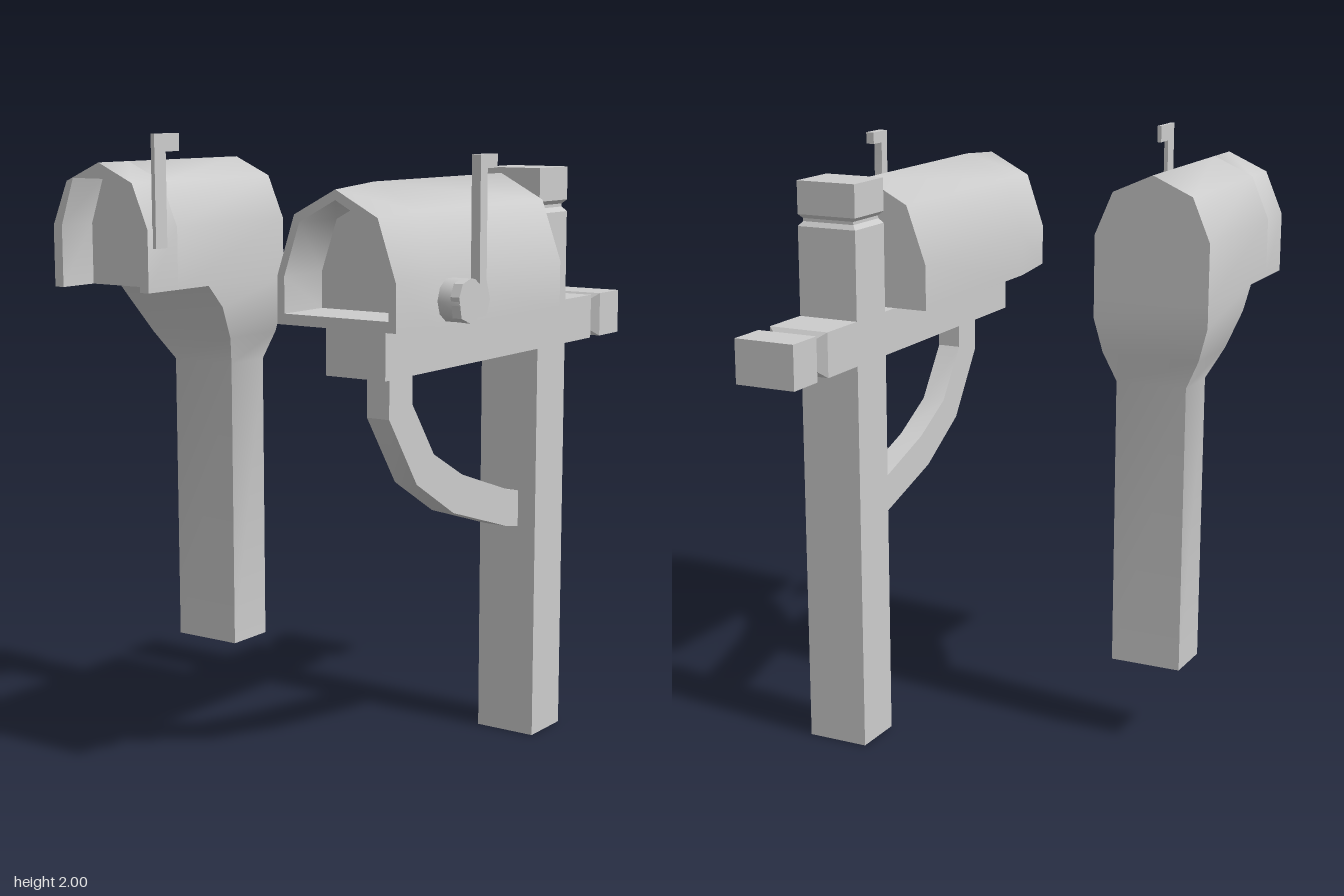
import * as THREE from 'three';
import { toCreasedNormals } from 'three/addons/utils/BufferGeometryUtils.js';

const material = new THREE.MeshStandardMaterial({ color: 0xcccccc, side: THREE.DoubleSide });

function add(parent, name, geometry, crease = 0.5) {
  const mesh = new THREE.Mesh(toCreasedNormals(geometry, crease), material);
  mesh.name = name;
  parent.add(mesh);
  return mesh;
}

// Skin through rings of [x, y, z] points, counter-clockwise seen from the end
function loft(rings, capStart, capEnd) {
  const out = [];
  const n = rings[0].length;
  for (let i = 0; i < rings.length - 1; i++) {
    for (let j = 0; j < n; j++) {
      const k = (j + 1) % n;
      const [a, b, c, d] = [rings[i][j], rings[i][k], rings[i + 1][k], rings[i + 1][j]];
      out.push(...a, ...b, ...c, ...a, ...c, ...d);
    }
  }
  for (let j = 1; j < n - 1; j++) {
    const s = rings[0], e = rings[rings.length - 1];
    if (capStart) out.push(...s[0], ...s[j + 1], ...s[j]);
    if (capEnd) out.push(...e[0], ...e[j], ...e[j + 1]);
  }
  const g = new THREE.BufferGeometry();
  g.setAttribute('position', new THREE.Float32BufferAttribute(out, 3));
  g.computeVertexNormals();
  return g;
}

function extrude(points, depth) {
  const shape = new THREE.Shape(points.map(p => new THREE.Vector2(...p)));
  return new THREE.ExtrudeGeometry(shape, { depth, bevelEnabled: false });
}

// Side outline of [z, y] points given thickness between x0 and x1
function sidePlate(points, x0, x1) {
  const g = extrude(points.map(([z, y]) => [-z, y]), x1 - x0);
  return g.rotateY(Math.PI / 2).translate(x0, 0, 0);
}

// Symmetric outline from its right half, bottom to top
function mirror(half) {
  const left = half.filter(p => p[0] > 0).reverse().map(([x, y]) => [-x, y]);
  return [...half, ...left];
}

function createBeamMailbox() {
  const group = new THREE.Group();
  group.name = 'beamMailbox';
  const cx = 0.41;

  // Post with a notched neck below its cap, open at the foot
  const postRings = [[0, 0.105, 0.09], [1.74, 0.105, 0.09], [1.755, 0.092, 0.078],
    [1.765, 0.092, 0.078], [1.778, 0.105, 0.09], [1.885, 0.105, 0.09]]
    .map(([y, w, d]) => [[-1, 1], [1, 1], [1, -1], [-1, -1]]
      .map(([sx, sz]) => [cx + sx * w, y, -0.3 + sz * d]));
  add(group, 'post', loft(postRings, false, true));

  // Cross beam with the same notch near its rear end
  const beamRings = [[-0.765, 0.105, 0.0725], [-0.632, 0.105, 0.0725], [-0.613, 0.072, 0.05],
    [-0.588, 0.072, 0.05], [-0.568, 0.105, 0.0725], [0.667, 0.105, 0.0725]]
    .map(([z, w, h]) => [[-1, -1], [1, -1], [1, 1], [-1, 1]]
      .map(([sx, sy]) => [cx + sx * w, 1.3775 + sy * h, z]));
  add(group, 'crossBeam', loft(beamRings, true, true));

  // Curved brace
  add(group, 'brace', sidePlate([
    [0.55, 1.305], [0.55, 1.17], [0.4, 0.95], [0.19, 0.825], [-0.13, 0.725], [-0.21, 0.71],
    [-0.21, 0.83], [-0.14, 0.845], [0.14, 0.94], [0.305, 1.03], [0.425, 1.2], [0.425, 1.305]
  ], 0.37, 0.45));

  // Box: body, narrowed mouth, rim and recess in one skin
  const outer = mirror([[0.22, 1.45], [0.22, 1.6], [0.152, 1.79], [0, 1.87]]);
  const mouth = mirror([[0.207, 1.46], [0.207, 1.6], [0.145, 1.78], [0, 1.855]]);
  const inner = mirror([[0.182, 1.492], [0.182, 1.6], [0.127, 1.758], [0, 1.825]]);
  const ring = (pts, z) => pts.map(([x, y]) => [cx + x, y, z]);
  add(group, 'box', loft([ring(outer, -0.145), ring(outer, 0.57), ring(mouth, 0.765),
    ring(inner, 0.765), ring(inner, 0.58)], true, true), 1.02);

  // Flag and its hub
  add(group, 'flag', sidePlate([
    [0.463, 1.58], [0.51, 1.6], [0.555, 1.587], [0.573, 1.55], [0.56, 1.488], [0.51, 1.47],
    [0.47, 1.485], [0.425, 1.485], [0.405, 1.53], [0.425, 1.59],
    [0.425, 1.91], [0.37, 1.91], [0.37, 1.95], [0.463, 1.95]
  ], 0.675, 0.705));
  const hub = new THREE.CylinderGeometry(0.065, 0.065, 0.08, 10);
  hub.rotateZ(Math.PI / 2).translate(0.664, 1.535, 0.506);
  add(group, 'flagHub', hub, 0.8);
  return group;
}

function createPedestalMailbox() {
  const group = new THREE.Group();
  group.name = 'pedestalMailbox';
  const cx = -0.515;

  // Pedestal flaring out into the box, open at the foot: [y, half width, back, front]
  const rings = [[0.275, 0.12, 0.065, 0.235], [1.235, 0.12, 0.065, 0.235],
    [1.33, 0.165, 0.052, 0.295], [1.44, 0.195, 0.045, 0.37], [1.515, 0.195, 0.045, 0.44]]
    .map(([y, w, back, front]) => [[cx - w, y, front], [cx + w, y, front],
      [cx + w, y, back], [cx - w, y, back]]);
  add(group, 'pedestal', loft(rings, false, false), 0.7);

  // Closed rear part of the box
  const half = [[0.195, 1.515], [0.195, 1.71], [0.135, 1.85], [0, 1.91]];
  const body = extrude(mirror(half), 0.545);
  add(group, 'box', body.translate(cx, 0, 0.045), 0.9);

  // Hood around the mouth, open underneath
  const inside = mirror([[0.16, 1.515], [0.16, 1.71], [0.108, 1.86]]).reverse();
  const hood = extrude([...mirror(half), ...inside.slice(0, 3), ...inside.slice(3)], 0.14);
  add(group, 'hood', hood.translate(cx, 0, 0.59), 0.9);

  // Flag
  add(group, 'flag', sidePlate([
    [0.705, 1.65], [0.652, 1.65], [0.652, 1.945], [0.588, 1.945], [0.588, 2], [0.705, 2]
  ], -0.322, -0.308));
  return group;
}

export function createModel() {
  const model = new THREE.Group();
  model.name = 'mailboxes';
  model.add(createBeamMailbox(), createPedestalMailbox());
  return model;
}
